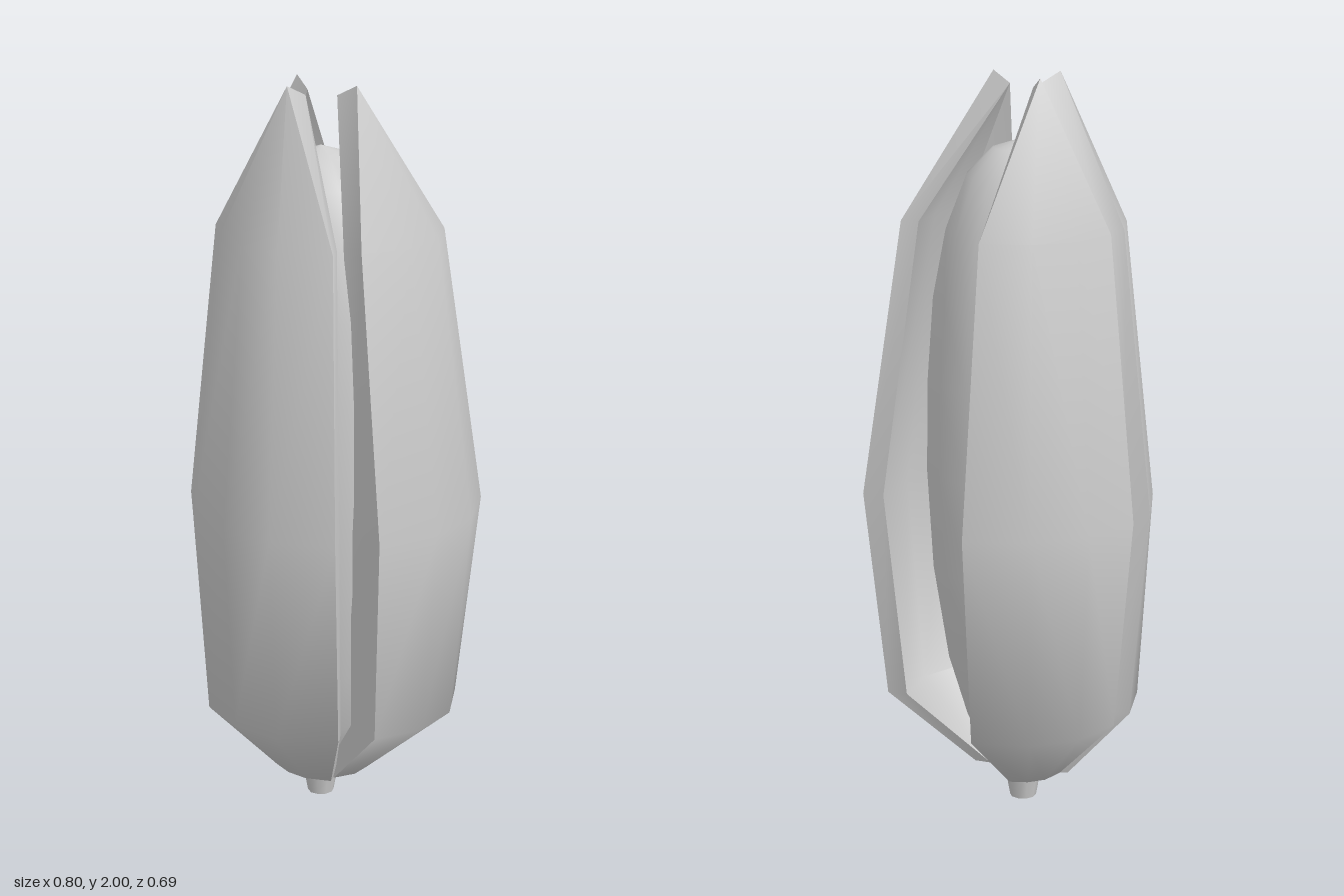
import * as THREE from 'three';
import { toCreasedNormals } from 'three/addons/utils/BufferGeometryUtils.js';

// Offsets a cross-section inward; endInset gives a broad cut on its last edge.
function insetSection(section, depth, endInset) {
  return section.map(([x, z], i) => {
    if (endInset && i === section.length - 1) return [x - endInset, z - endInset * 0.15];
    const a = section[Math.max(i - 1, 0)];
    const b = section[Math.min(i + 1, section.length - 1)];
    const tx = b[0] - a[0], tz = b[1] - a[1], len = Math.hypot(tx, tz);
    return [x - (tz / len) * depth, z + (tx / len) * depth];
  });
}

// Thick pointed husk leaf lofted through sections and closed at one tip.
function leafGeometry(rows, tipOuter, tipInner, mirrored = false) {
  const n = rows[0].section.length;
  const rings = rows.map(({ y, section, depth, end }) => {
    const inner = insetSection(section, depth, end);
    return [...section, ...inner.reverse()].map(([x, z]) => new THREE.Vector3(x, y, z));
  });
  rings.push(Array.from({ length: 2 * n }, (_, i) =>
    new THREE.Vector3(...(i < n ? tipOuter : tipInner))));

  const points = [];
  const triangle = (a, b, c) => {
    const area = b.clone().sub(a).cross(c.clone().sub(a)).length();
    if (area < 1e-7) return;
    const corners = mirrored ? [a, c, b] : [a, b, c];
    corners.forEach((p) => points.push(mirrored ? -p.x : p.x, p.y, p.z));
  };

  for (let j = 0; j < rings.length - 1; j++) {
    for (let i = 0; i < 2 * n; i++) {
      const k = (i + 1) % (2 * n);
      const a = rings[j][i], b = rings[j][k], c = rings[j + 1][k], d = rings[j + 1][i];
      triangle(a, d, b);
      triangle(b, d, c);
    }
  }
  // Lower end between the outer and inner faces
  const base = rings[0];
  for (let i = 0; i < n - 1; i++) {
    triangle(base[i], base[i + 1], base[2 * n - 2 - i]);
    triangle(base[i], base[2 * n - 2 - i], base[2 * n - 1 - i]);
  }
  const geometry = new THREE.BufferGeometry();
  geometry.setAttribute('position', new THREE.Float32BufferAttribute(points, 3));
  return toCreasedNormals(geometry, 0.95);
}

// Symmetric five-point section for the front leaf
const arch = (edgeX, edgeZ, midX, midZ, z) =>
  [[edgeX, edgeZ], [midX, midZ], [0, z], [-midX, midZ], [-edgeX, edgeZ]];

export function createModel() {
  const model = new THREE.Group();
  const grey = new THREE.MeshStandardMaterial({ color: 0xcccccc });
  grey.name = 'plain grey';
  const add = (name, geometry) => {
    const mesh = new THREE.Mesh(geometry, grey);
    mesh.name = name;
    model.add(mesh);
    return mesh;
  };

  // Rounded core
  const profile = [
    [0, 0.08], [0.06, 0.09], [0.11, 0.15], [0.155, 0.25], [0.205, 0.42], [0.245, 0.68],
    [0.26, 0.95], [0.256, 1.2], [0.24, 1.42], [0.205, 1.6], [0.15, 1.74], [0.08, 1.81], [0, 1.835],
  ].map(([r, y]) => new THREE.Vector2(r, y));
  add('core', new THREE.LatheGeometry(profile, 16));

  // Short stem
  const stem = add('stem', new THREE.CylinderGeometry(0.056, 0.036, 0.11, 10));
  stem.position.y = 0.055;

  // Front leaf
  add('frontLeaf', leafGeometry([
    { y: 0.09, section: arch(0.12, 0.07, 0.06, 0.11, 0.12), depth: 0.045 },
    { y: 0.29, section: arch(0.265, 0.175, 0.14, 0.285, 0.31), depth: 0.055 },
    { y: 0.86, section: arch(0.293, 0.213, 0.155, 0.318, 0.343), depth: 0.06 },
    { y: 1.61, section: arch(0.23, 0.165, 0.115, 0.25, 0.27), depth: 0.05 },
  ], [0, 2, 0.115], [0, 1.97, 0.052]));

  // Pair of side leaves
  const sideRows = [
    { y: 0.09, section: [[0.09, -0.1], [0.12, -0.06], [0.13, -0.01], [0.11, 0.05]], depth: 0.045, end: 0.05 },
    { y: 0.29, section: [[0.225, -0.3], [0.325, -0.18], [0.355, -0.045], [0.315, 0.09]], depth: 0.055, end: 0.11 },
    { y: 0.86, section: [[0.264, -0.347], [0.37, -0.205], [0.4, -0.05], [0.357, 0.117]], depth: 0.06, end: 0.13 },
    { y: 1.61, section: [[0.2, -0.255], [0.285, -0.15], [0.305, -0.03], [0.265, 0.1]], depth: 0.05, end: 0.08 },
  ];
  for (const mirrored of [false, true]) {
    add(mirrored ? 'rightLeaf' : 'leftLeaf',
      leafGeometry(sideRows, [0.115, 2, -0.02], [0.057, 1.97, -0.005], mirrored));
  }
  return model;
}
